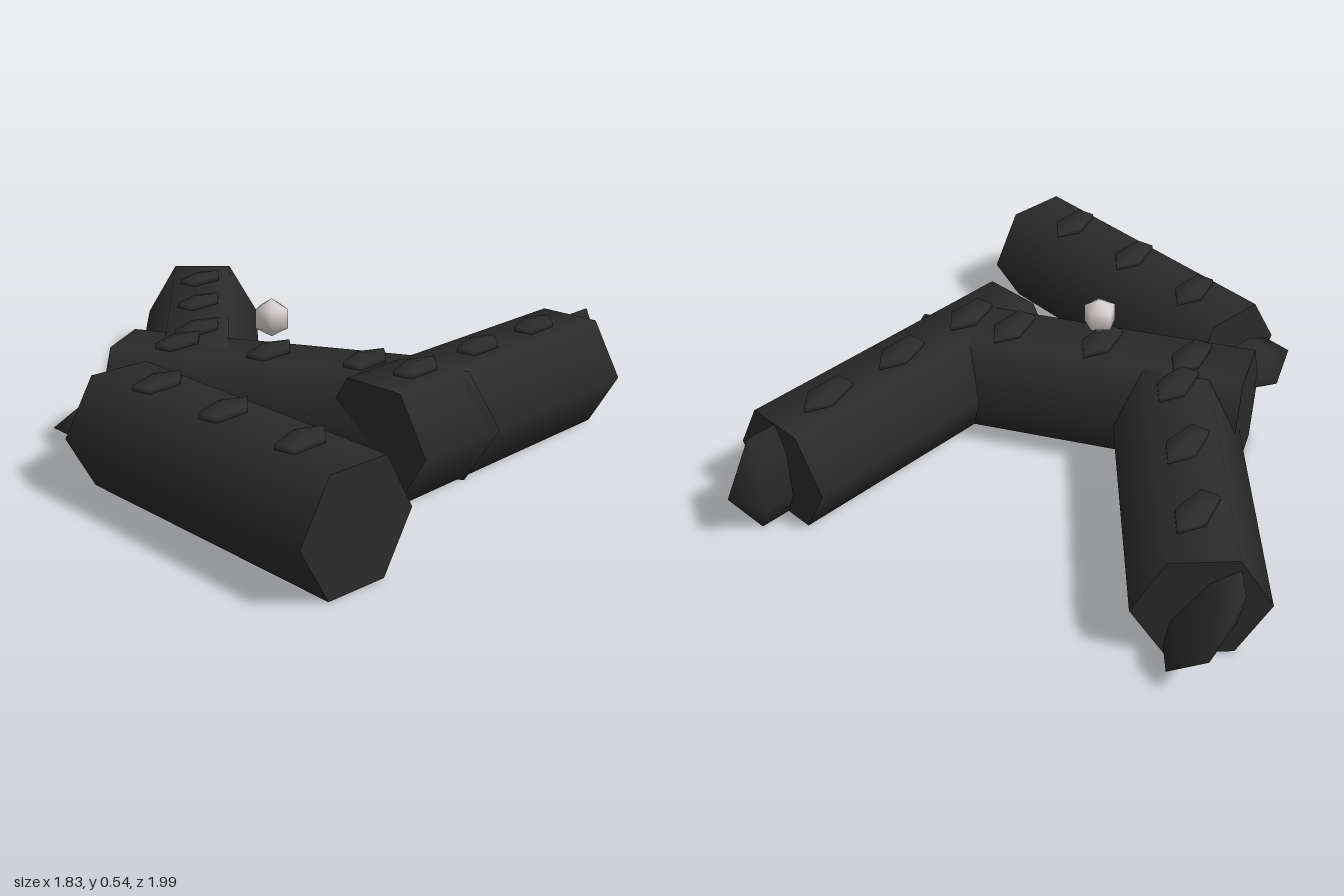
import * as THREE from 'three';

const charcoal = new THREE.MeshStandardMaterial({ color: 0x2b2b2b });
charcoal.name = 'charcoal';
const paleGrey = new THREE.MeshStandardMaterial({ color: 0xddd4d4 });
paleGrey.name = 'paleGrey';

const R = 0.21;               // log radius
const MID = R * Math.sqrt(3) / 2; // height of the log axis, flat side down

// Logs: start and end of the axis in (x, z); the lobe sits on the end, rolled about the axis
const LOGS = [
  { name: 'leftLog', from: [0.525, 0.235], to: [0.705, -0.795], roll: Math.PI / 2 },
  { name: 'rightLog', from: [-0.13, 0.25], to: [-0.745, -0.597], roll: 0.93 },
  { name: 'middleLog', from: [-0.4, 0.295], to: [0.6, -0.015], roll: Math.PI / 2 },
  { name: 'frontLog', from: [0.812, 0.787], to: [-0.21, 0.54], roll: 0 },
];

// Knots on top of the logs, (x, z)
const KNOTS = [
  [0.665, -0.59], [0.615, -0.28], [0.56, 0.03],
  [0.39, 0.05], [0.09, 0.145], [-0.21, 0.235],
  [-0.62, -0.43], [-0.435, -0.175], [-0.25, 0.075],
  [-0.01, 0.59], [0.295, 0.67], [0.605, 0.74],
];

function add(parent, name, geometry, material) {
  const mesh = new THREE.Mesh(geometry, material);
  mesh.name = name;
  parent.add(mesh);
  return mesh;
}

// Five-sided ball with one corner of its ring pointing to the back
function pentaBall(rx, ry, rz) {
  return new THREE.SphereGeometry(1, 5, 3).rotateY(-Math.PI / 2).scale(rx, ry, rz);
}

// Six-sided log along local z with a flattened lobe at its far end
function makeLog({ name, from, to, roll }) {
  const dx = to[0] - from[0], dz = to[1] - from[1];
  const length = Math.hypot(dx, dz);
  const log = new THREE.Group();
  log.name = name;
  log.position.set((from[0] + to[0]) / 2, MID, (from[1] + to[1]) / 2);
  log.rotation.y = Math.atan2(dx, dz);

  const trunk = new THREE.CylinderGeometry(R, R, length, 6);
  add(log, 'trunk', trunk.rotateY(Math.PI / 6).rotateX(Math.PI / 2), charcoal);

  const lobe = new THREE.SphereGeometry(R, 6, 3).scale(1, 1, 0.27).rotateX(Math.PI / 2);
  const end = add(log, 'endLobe', lobe, charcoal);
  end.position.z = length / 2;
  end.rotation.z = roll;
  return log;
}

export function createModel() {
  const model = new THREE.Group();
  model.name = 'logPile';

  for (const spec of LOGS) model.add(makeLog(spec));

  const knot = pentaBall(0.0635, 0.026, 0.125);
  for (const [x, z] of KNOTS) {
    add(model, 'knot', knot, charcoal).position.set(x, 2 * MID + 0.003, z);
  }

  // Small pale ball floating above the middle log
  add(model, 'paleBall', pentaBall(0.0625, 0.0625, 0.0625), paleGrey).position.set(0.09, 0.48, 0.14);

  return model;
}
